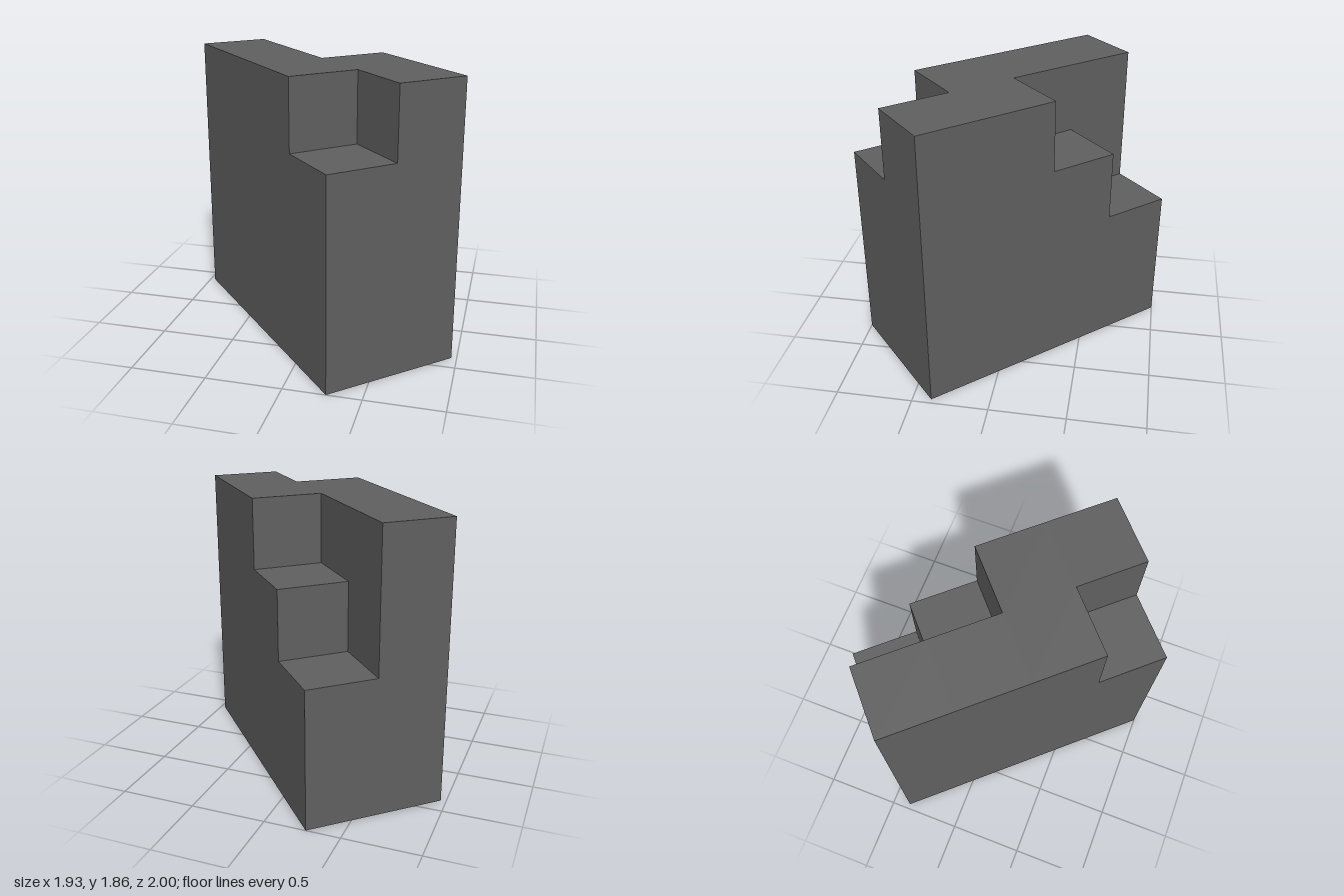
import * as THREE from 'three';

const U = 0.4638; // edge of one block unit
// Block heights: four columns along the length, for the rear and the front row
const HEIGHTS = [
  [2, 3, 4, 4],
  [4, 4, 4, 3],
];

const heightAt = (i, k) => HEIGHTS[k]?.[i] ?? 0;

// Closed outer skin of the stepped block: tops, bottoms and exposed walls only
function steppedBlockGeometry() {
  const positions = [];
  // Corners run counter-clockwise seen from outside
  const quad = (a, b, c, d) => {
    for (const [x, y, z] of [a, b, c, a, c, d]) {
      positions.push((x - 2) * U, y * U, (z - 1) * U);
    }
  };
  for (let k = 0; k < 2; k++) {
    for (let i = 0; i < 4; i++) {
      const h = heightAt(i, k);
      // Corners around the cell: front left, front right, rear right, rear left
      const ring = [[i, k + 1], [i + 1, k + 1], [i + 1, k], [i, k]];
      const at = (n, y) => [ring[n % 4][0], y, ring[n % 4][1]];
      quad(at(0, h), at(1, h), at(2, h), at(3, h)); // top
      quad(at(3, 0), at(2, 0), at(1, 0), at(0, 0)); // underside
      // Walls rise from the neighbour's height to this cell's height
      [[0, 1], [1, 0], [0, -1], [-1, 0]].forEach(([di, dk], n) => {
        const low = heightAt(i + di, k + dk);
        if (low < h) quad(at(n, low), at(n + 1, low), at(n + 1, h), at(n, h));
      });
    }
  }
  const geometry = new THREE.BufferGeometry();
  geometry.setAttribute('position', new THREE.Float32BufferAttribute(positions, 3));
  geometry.computeVertexNormals();
  return geometry;
}

export function createModel() {
  const group = new THREE.Group();
  group.name = 'steppedBlockModel';

  const darkGrey = new THREE.MeshStandardMaterial({ color: 0x606060 });
  darkGrey.name = 'darkGrey';

  const block = new THREE.Mesh(steppedBlockGeometry(), darkGrey);
  block.name = 'steppedBlock';
  block.rotation.y = THREE.MathUtils.degToRad(-48); // stands diagonally
  group.add(block);
  return group;
}
